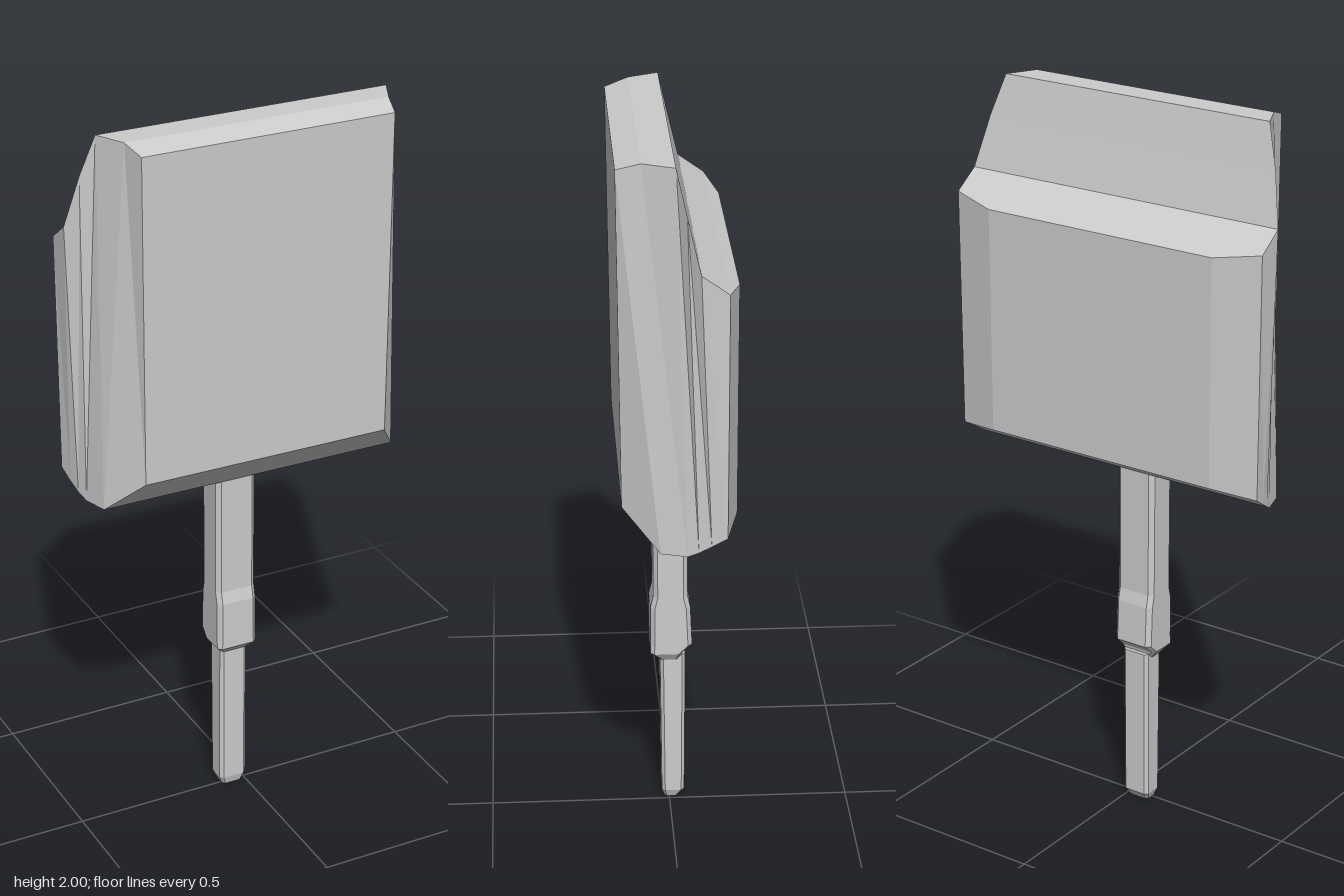
import * as THREE from 'three';

const material = new THREE.MeshStandardMaterial({ color: 0xcccccc, flatShading: true });

// Skin a row of matching rings (counter-clockwise seen from the last ring) and cap both ends
function loft(rings) {
  const pos = [];
  const tri = (...pts) => pts.forEach((p) => pos.push(...p));
  const n = rings[0].length;
  for (let i = 0; i < rings.length - 1; i++) {
    for (let j = 0; j < n; j++) {
      const k = (j + 1) % n;
      const a = rings[i][j], b = rings[i][k], c = rings[i + 1][k], d = rings[i + 1][j];
      tri(a, b, c);
      tri(a, c, d);
    }
  }
  const first = rings[0], last = rings[rings.length - 1];
  for (let j = 1; j < n - 1; j++) {
    tri(first[0], first[j + 1], first[j]);
    tri(last[0], last[j], last[j + 1]);
  }
  const geometry = new THREE.BufferGeometry();
  geometry.setAttribute('position', new THREE.Float32BufferAttribute(pos, 3));
  geometry.computeVertexNormals();
  return geometry;
}

// Four-cornered head section, mirrored in x
function headRing([wTop, yTop, zTop, wLow, yLow, zLow]) {
  return [[-wLow, yLow, zLow], [wLow, yLow, zLow], [wTop, yTop, zTop], [-wTop, yTop, zTop]];
}

// Rectangular shaft section with chamfered corners
function shaftRing([y, x0, x1, z0, z1, c]) {
  return [
    [x0 + c, y, z1], [x1 - c, y, z1], [x1, y, z1 - c], [x1, y, z0 + c],
    [x1 - c, y, z0], [x0 + c, y, z0], [x0, y, z0 + c], [x0, y, z1 - c],
  ];
}

function addPart(group, name, geometry) {
  const mesh = new THREE.Mesh(geometry, material);
  mesh.name = name;
  group.add(mesh);
}

export function createModel() {
  const group = new THREE.Group();
  group.name = 'paddle';

  // Head, from the back panel to the front panel:
  // half width, y and z of the upper edge, then of the lower edge
  addPart(group, 'head', loft([
    [0.35, 1.68, -0.153, 0.35, 1.06, -0.153],
    [0.477, 1.70, -0.12, 0.475, 1.045, -0.12],
    [0.477, 1.75, -0.05, 0.468, 1.02, -0.08],
    [0.445, 1.89, -0.017, 0.46, 1.0, -0.048],
    [0.41, 2.0, 0.008, 0.45, 0.985, -0.02],
    [0.37, 2.0, 0.09, 0.43, 0.985, 0.047],
    [0.353, 1.98, 0.153, 0.353, 1.083, 0.143],
  ].map(headRing)));

  // Upper shaft with its thicker collar: y, x range, z range, chamfer
  addPart(group, 'upperShaft', loft([
    [0.445, -0.08, 0.0, -0.028, 0.028, 0.01],
    [0.47, -0.1, 0.016, -0.035, 0.053, 0.01],
    [0.495, -0.1, 0.016, -0.062, 0.053, 0.012],
    [0.61, -0.1, 0.016, -0.057, 0.053, 0.012],
    [0.645, -0.1, 0.016, -0.049, 0.045, 0.012],
    [1.03, -0.1, 0.016, -0.047, 0.047, 0.012],
  ].map(shaftRing)));

  // Thin lower shaft with a tapered tip
  addPart(group, 'lowerShaft', loft([
    [0, -0.07, -0.01, -0.025, 0.014, 0.008],
    [0.025, -0.08, 0.0, -0.042, 0.021, 0.009],
    [0.46, -0.08, 0.0, -0.044, 0.026, 0.009],
  ].map(shaftRing)));

  return group;
}
